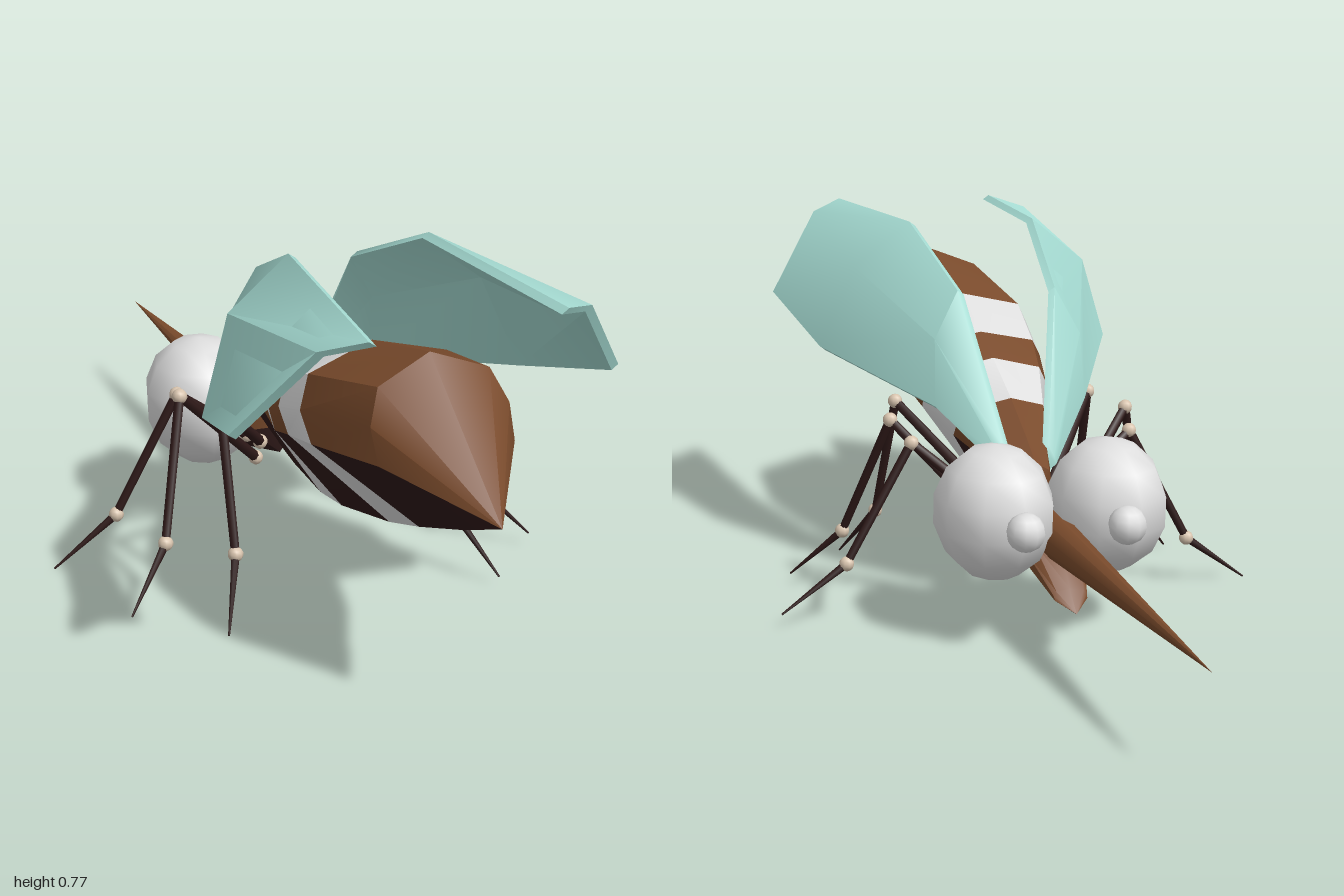
import * as THREE from 'three';
import { toCreasedNormals } from 'three/addons/utils/BufferGeometryUtils.js';

const mat = (name, color, side = THREE.FrontSide) => {
  const m = new THREE.MeshStandardMaterial({ color, side });
  m.name = name;
  return m;
};

export function createModel() {
  const model = new THREE.Group();
  model.name = 'insect';
  const brown = mat('brown', 0x7a4b2c), dark = mat('darkBrown', 0x2e1918);
  const white = mat('paleGrey', 0xdedede), teal = mat('wingTeal', 0xa6dcd3, THREE.DoubleSide);
  const cream = mat('jointCream', 0xd8c4ae);
  const V = (x, y, z) => new THREE.Vector3(x, y, z);

  const add = (name, geo, material, parent = model) => {
    const mesh = new THREE.Mesh(geo, material);
    mesh.name = name;
    parent.add(mesh);
    return mesh;
  };

  // Skin closed loops running towards +z; each end fans to a point.
  // pick(i, j) gives the material index of a face.
  function loft(rings, start, end, crease, pick = () => 0) {
    const pos = [], geo = new THREE.BufferGeometry();
    const n = rings[0].length;
    const tri = (m, ...pts) => {
      geo.addGroup(pos.length / 3, 3, m);
      pts.forEach(p => pos.push(p.x, p.y, p.z));
    };
    for (let j = 0; j < n; j++) {
      const k = (j + 1) % n;
      tri(pick(0, j), start, rings[0][j], rings[0][k]);
      for (let i = 0; i < rings.length - 1; i++) {
        const a = rings[i][j], b = rings[i][k], c = rings[i + 1][k], d = rings[i + 1][j];
        tri(pick(i, j), a, d, c);
        tri(pick(i, j), a, c, b);
      }
      const last = rings[rings.length - 1];
      tri(pick(rings.length - 1, j), end, last[k], last[j]);
    }
    geo.setAttribute('position', new THREE.Float32BufferAttribute(pos, 3));
    return toCreasedNormals(geo, crease);
  }

  // Domed section with a V keel: top (z, y), widest side (x, z, y), keel (z, y)
  function section([tz, ty, w, sz, sy, bz, by]) {
    const at = (f, t) => [w * f, ty + (sy - ty) * t, tz + (sz - tz) * t];
    const half = [at(0.82, 0.25), at(1.02, 0.62), at(1, 1)];
    return [
      V(0, ty, tz), ...half.map(p => V(...p)), V(0, by, bz),
      ...half.reverse().map(([x, y, z]) => V(-x, y, z)),
    ];
  }
  const backOrBelly = j => (j === 3 || j === 4 ? 1 : 0);

  // Abdomen and thorax: brown back, dark belly, two pale bands
  const body = [
    [-0.06, 0.33, 0.04, -0.04, 0.26, -0.03, 0.19],
    [0.00, 0.37, 0.06, 0.05, 0.30, 0.06, 0.175],
    [0.11, 0.43, 0.10, 0.20, 0.33, 0.20, 0.165],
    [0.24, 0.49, 0.14, 0.31, 0.37, 0.31, 0.18],
    [0.33, 0.53, 0.16, 0.43, 0.41, 0.54, 0.24],
    [0.47, 0.59, 0.175, 0.58, 0.45, 0.67, 0.285],
    [0.72, 0.65, 0.135, 0.79, 0.48, 0.85, 0.355],
  ].map(section);
  add('body', loft(body, V(0, 0.26, -0.07), V(0, 0.42, 1), 0.6,
    (i, j) => (i === 2 || i === 4 ? 2 : backOrBelly(j))), [brown, dark, white]);

  // Lower jaw, sloping down between the eyes
  const jaw = [
    [-0.29, 0.13, 0.035, -0.30, 0.11, -0.32, 0.088],
    [-0.20, 0.22, 0.06, -0.20, 0.155, -0.20, 0.115],
    [-0.03, 0.30, 0.06, -0.05, 0.22, -0.02, 0.17],
  ].map(section);
  add('jaw', loft(jaw, V(0, 0.09, -0.335), V(0, 0.23, -0.02), 0.7, (i, j) => backOrBelly(j)), [brown, dark]);

  // Long piercing beak
  const beak = add('beak', new THREE.ConeGeometry(0.05, 0.9, 10), brown);
  beak.rotation.x = -Math.PI / 2;
  beak.position.set(0, 0.212, -0.545);

  // Large eyes with a small bulb on each
  for (const s of [1, -1]) {
    const eye = add(s > 0 ? 'leftEye' : 'rightEye', new THREE.SphereGeometry(0.145, 9, 7), white);
    eye.scale.set(0.87, 0.98, 1);
    eye.position.set(s * 0.123, 0.265, -0.165);
    const bulb = add(s > 0 ? 'leftEyeBulb' : 'rightEyeBulb', new THREE.SphereGeometry(0.04, 10, 8), white);
    bulb.position.set(s * 0.108, 0.265, -0.32);
  }

  // Curved wings: each section runs from upper edge over the bulge to lower edge
  const wingSections = [
    [[0.05, 0.35, 0.00], [0.06, 0.33, -0.01], [0.065, 0.31, -0.01]],
    [[0.11, 0.66, 0.16], [0.165, 0.56, 0.14], [0.17, 0.42, 0.11]],
    [[0.145, 0.768, 0.42], [0.27, 0.67, 0.42], [0.34, 0.485, 0.45]],
    [[0.19, 0.752, 0.88], [0.265, 0.73, 0.83], [0.388, 0.56, 0.72]],
  ];
  for (const s of [1, -1]) {
    const rings = wingSections.map(pts => {
      const under = pts.map(([x, y, z]) => [x - 0.014, y - 0.01, z]).reverse();
      const ring = [...pts, ...under].map(([x, y, z]) => V(s * x, y, z));
      return s > 0 ? ring : ring.reverse();
    });
    // end caps meet at the middle of the bowed edge
    const middle = r => {
      const [a, b] = s > 0 ? [1, 4] : [4, 1];
      return r[a].clone().lerp(r[b], 0.5);
    };
    add(s > 0 ? 'leftWing' : 'rightWing', loft(rings, middle(rings[0]), middle(rings[3]), 0.75), teal);
  }

  // Tapered limb between two points
  function limb(name, a, b, ra, rb, parent) {
    const dir = b.clone().sub(a);
    const mesh = add(name, new THREE.CylinderGeometry(rb, ra, dir.length(), 7), dark, parent);
    mesh.position.copy(a).lerp(b, 0.5);
    mesh.quaternion.setFromUnitVectors(V(0, 1, 0), dir.normalize());
  }

  // Legs: hip, knee, ankle, tip
  const legs = {
    front: [[0.075, 0.225, -0.02], [0.245, 0.365, 0.03], [0.386, 0.115, 0.015], [0.526, 0.016, 0.01]],
    middle: [[0.045, 0.155, -0.05], [0.268, 0.395, 0.115], [0.346, 0.125, 0.213], [0.446, 0.013, 0.28]],
    rear: [[0.072, 0.235, 0.05], [0.224, 0.405, 0.235], [0.24, 0.13, 0.33], [0.297, 0.009, 0.43]],
  };
  for (const [name, path] of Object.entries(legs)) {
    for (const s of [1, -1]) {
      const leg = new THREE.Group();
      leg.name = name + (s > 0 ? 'LeftLeg' : 'RightLeg');
      model.add(leg);
      const p = path.map(([x, y, z]) => V(s * x, y, z));
      limb('thigh', p[0], p[1], 0.012, 0.010, leg);
      limb('shin', p[1], p[2], 0.010, 0.009, leg);
      limb('foot', p[2], p[3], 0.009, 0.002, leg);
      ['hipJoint', 'kneeJoint', 'ankleJoint'].forEach((joint, i) =>
        add(joint, new THREE.SphereGeometry(0.016, 9, 7), cream, leg).position.copy(p[i]));
    }
  }

  // Slight sideways lean
  model.rotation.z = 0.03;
  const root = new THREE.Group();
  root.name = 'leaningInsect';
  root.add(model);
  return root;
}
